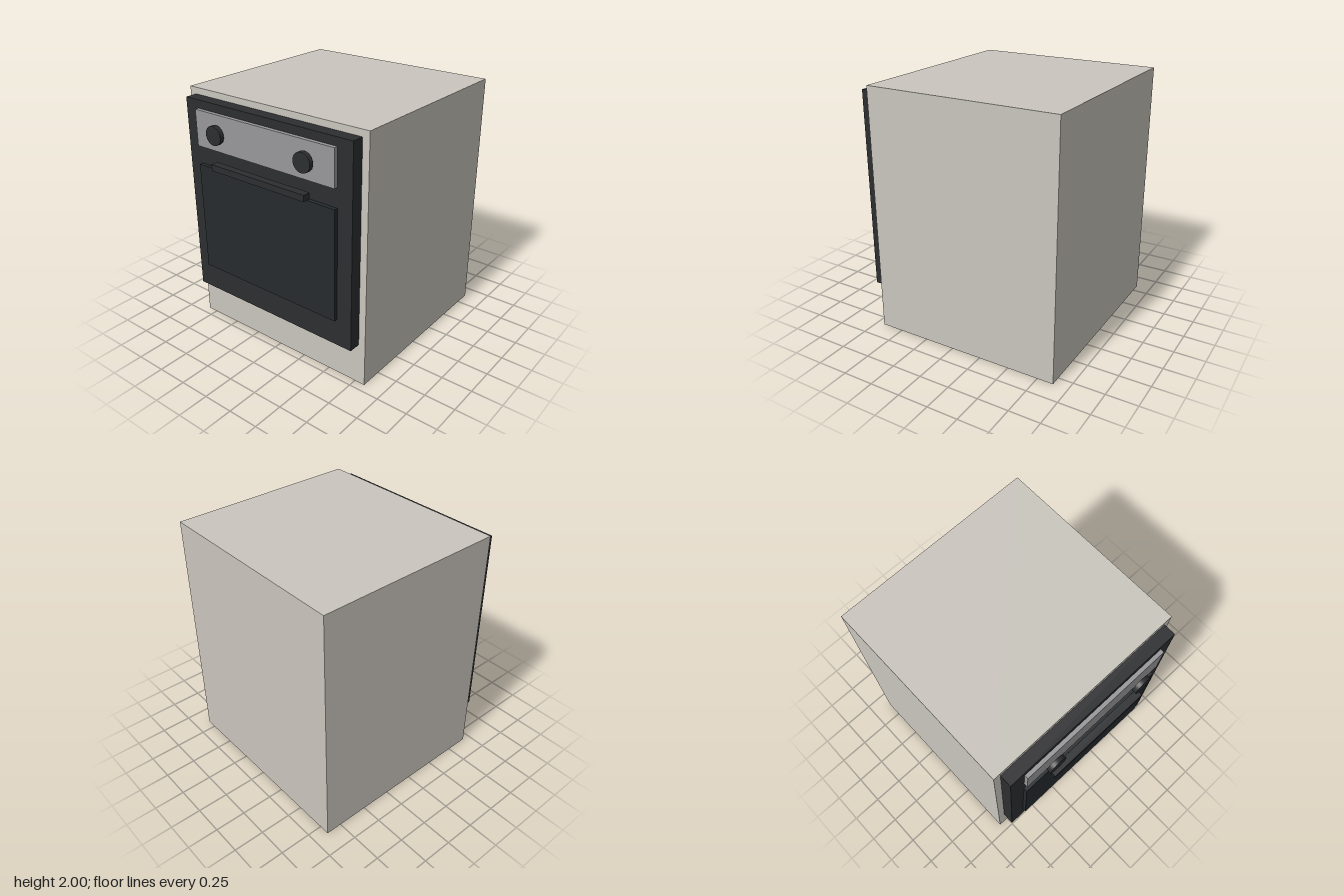
import * as THREE from 'three';

const mat = (color) => new THREE.MeshStandardMaterial({ color });

export function createModel() {
  const group = new THREE.Group();
  const cream = mat(0xcac6be), black = mat(0x2d2e30), glass = mat(0x262b2e), steel = mat(0x98989a);

  // Box centred on x, given its width and its y and z ranges
  const slab = (name, width, y0, y1, z0, z1, material) => {
    const mesh = new THREE.Mesh(new THREE.BoxGeometry(width, y1 - y0, z1 - z0), material);
    mesh.position.set(0, (y0 + y1) / 2, (z0 + z1) / 2);
    mesh.name = name;
    group.add(mesh);
  };

  slab('cabinet', 1.67, 0, 2, -0.88, 0.683, cream);
  slab('ovenFront', 1.556, 0.34, 1.948, 0.683, 0.78, black);
  slab('controlPanel', 1.306, 1.597, 1.883, 0.78, 0.811, steel);
  slab('doorWindow', 1.306, 0.562, 1.446, 0.78, 0.811, glass);
  slab('doorHandle', 0.888, 1.467, 1.517, 0.82, 0.88, black);

  // Round control knobs, mirrored left and right
  const knobGeometry = new THREE.CylinderGeometry(0.075, 0.075, 0.034, 32).rotateX(Math.PI / 2);
  for (const side of [-1, 1]) {
    const knob = new THREE.Mesh(knobGeometry, black);
    knob.position.set(side * 0.417, 1.74, 0.85);
    knob.name = side > 0 ? 'leftKnob' : 'rightKnob';
    group.add(knob);
  }
  return group;
}
